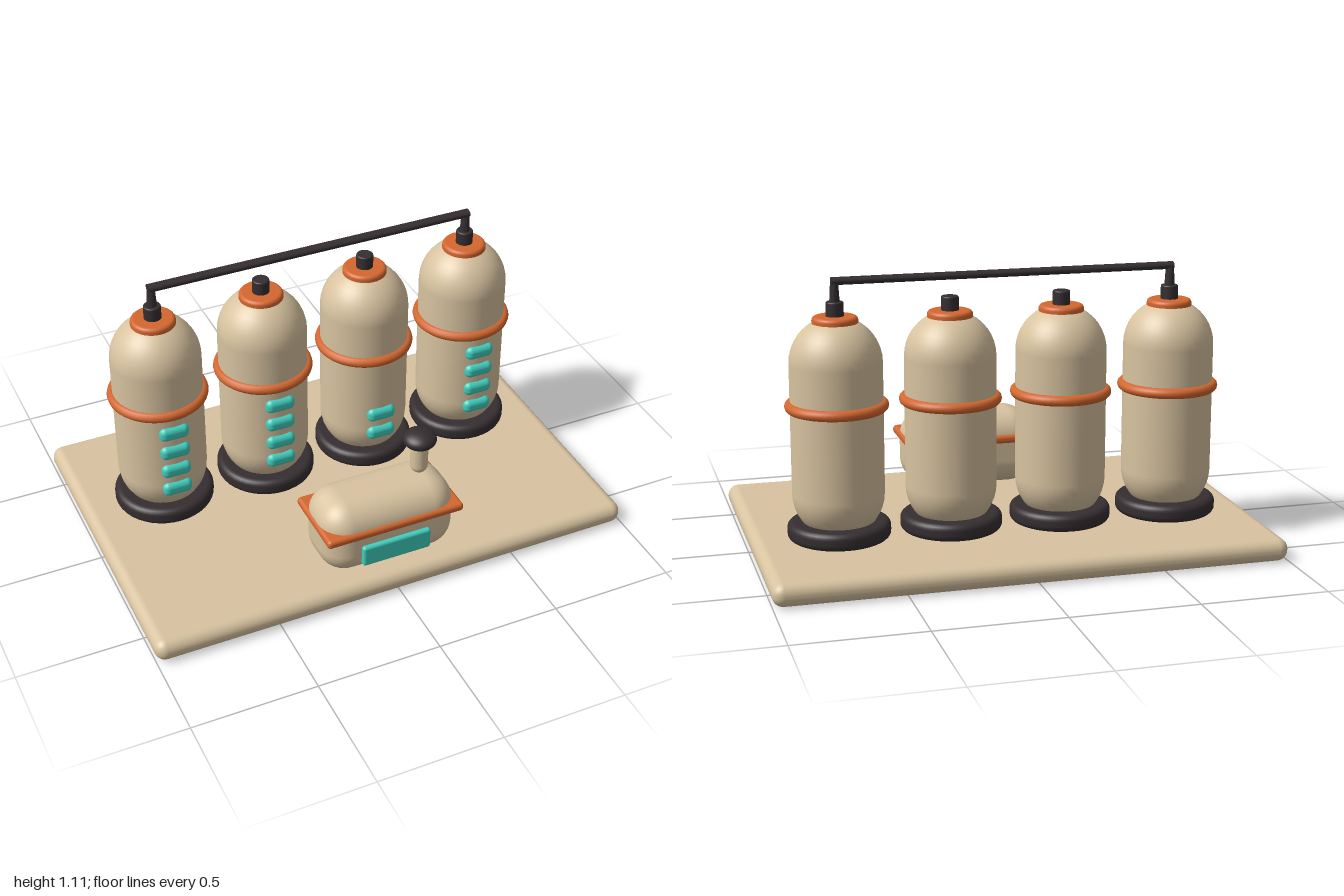
import * as THREE from 'three';
import { RoundedBoxGeometry } from 'three/addons/geometries/RoundedBoxGeometry.js';

const material = (name, color) => {
  const m = new THREE.MeshStandardMaterial({ color });
  m.name = name;
  return m;
};

export function createModel() {
  const beige = material('beige', 0xd8c3a0);
  const orange = material('orange', 0xd4672f);
  const dark = material('charcoal', 0x352e30);
  const teal = material('teal', 0x3fcfbf);

  const model = new THREE.Group();
  model.name = 'tankStation';

  const add = (parent, name, geometry, mat, x, y, z) => {
    const mesh = new THREE.Mesh(geometry, mat);
    mesh.name = name;
    mesh.position.set(x, y, z);
    parent.add(mesh);
    return mesh;
  };
  const box = (w, h, d, r) => new RoundedBoxGeometry(w, h, d, 5, r);

  // Disc with rounded rims, standing on y = 0
  const disc = (radius, height, bevel) => {
    const points = [new THREE.Vector2(0, 0)];
    for (const [cy, start] of [[bevel, -Math.PI / 2], [height - bevel, 0]]) {
      for (let i = 0; i <= 5; i++) {
        const a = start + (i / 5) * Math.PI / 2;
        points.push(new THREE.Vector2(radius - bevel + bevel * Math.cos(a), cy + bevel * Math.sin(a)));
      }
    }
    points.push(new THREE.Vector2(0, height));
    return new THREE.LatheGeometry(points, 40);
  };

  // Base slab
  add(model, 'base', box(2, 0.09, 1.334, 0.043), beige, 0, 0.045, 0);

  // Four tanks; the third has only its two lower lights
  const tankZ = -0.165;
  const lightHeights = [0.26, 0.35, 0.44, 0.53];
  const bodyGeo = new THREE.CapsuleGeometry(0.178, 0.51, 10, 40);
  const bandGeo = new THREE.TorusGeometry(0.178, 0.021, 12, 48).rotateX(Math.PI / 2);
  const footGeo = disc(0.2, 0.07, 0.025);
  const capGeo = disc(0.088, 0.055, 0.015);
  const nozzleGeo = disc(0.034, 0.065, 0.006);
  const lightGeo = box(0.12, 0.06, 0.05, 0.024);
  [4, 4, 2, 4].forEach((lights, i) => {
    const tank = new THREE.Group();
    tank.name = 'tank' + (i + 1);
    tank.position.set(-0.667 + i * 0.4447, 0, tankZ);
    model.add(tank);
    add(tank, 'foot', footGeo, dark, 0, 0.09, 0);
    add(tank, 'body', bodyGeo, beige, 0, 0.525, 0);
    add(tank, 'band', bandGeo, orange, 0, 0.615, 0);
    add(tank, 'cap', capGeo, orange, 0, 0.905, 0);
    add(tank, 'nozzle', nozzleGeo, dark, 0, 0.95, 0);
    for (const y of lightHeights.slice(0, lights)) add(tank, 'light', lightGeo, teal, 0, y, 0.17);
  });

  // Overhead pipe joining the outer tanks, mitred narrower at its bends
  const pipeR = 0.021;
  const pipe = new THREE.Group();
  pipe.name = 'pipe';
  model.add(pipe);
  const riserGeo = new THREE.CylinderGeometry(pipeR, pipeR, 0.095, 16);
  const pos = riserGeo.attributes.position;
  for (let i = 0; i < pos.count; i++) if (pos.getY(i) > 0) pos.setX(i, pos.getX(i) * 0.71);
  riserGeo.computeVertexNormals();
  for (const s of [-1, 1]) add(pipe, 'riser', riserGeo, dark, s * 0.667, 1.045, tankZ);
  const barGeo = new THREE.CylinderGeometry(pipeR, pipeR, 1.358, 16).rotateZ(Math.PI / 2).scale(1, 0.72, 1);
  add(pipe, 'crossbar', barGeo, dark, 0, 1.092, tankZ);

  // Control console with band, screen and lever
  const desk = new THREE.Group();
  desk.name = 'console';
  desk.position.z = 0.468;
  model.add(desk);
  add(desk, 'consoleBody', box(0.56, 0.315, 0.286, 0.11), beige, 0, 0.2425, 0);
  add(desk, 'consoleBand', box(0.575, 0.036, 0.307, 0.015), orange, 0, 0.292, 0);
  add(desk, 'screen', box(0.288, 0.092, 0.03, 0.012), teal, 0, 0.192, 0.146);
  add(desk, 'leverStem', new THREE.CapsuleGeometry(0.035, 0.09, 6, 20), beige, 0.163, 0.483, 0);
  add(desk, 'leverKnob', new THREE.SphereGeometry(0.066, 28, 18).scale(1, 0.55, 1), dark, 0.163, 0.56, 0);

  return model;
}
